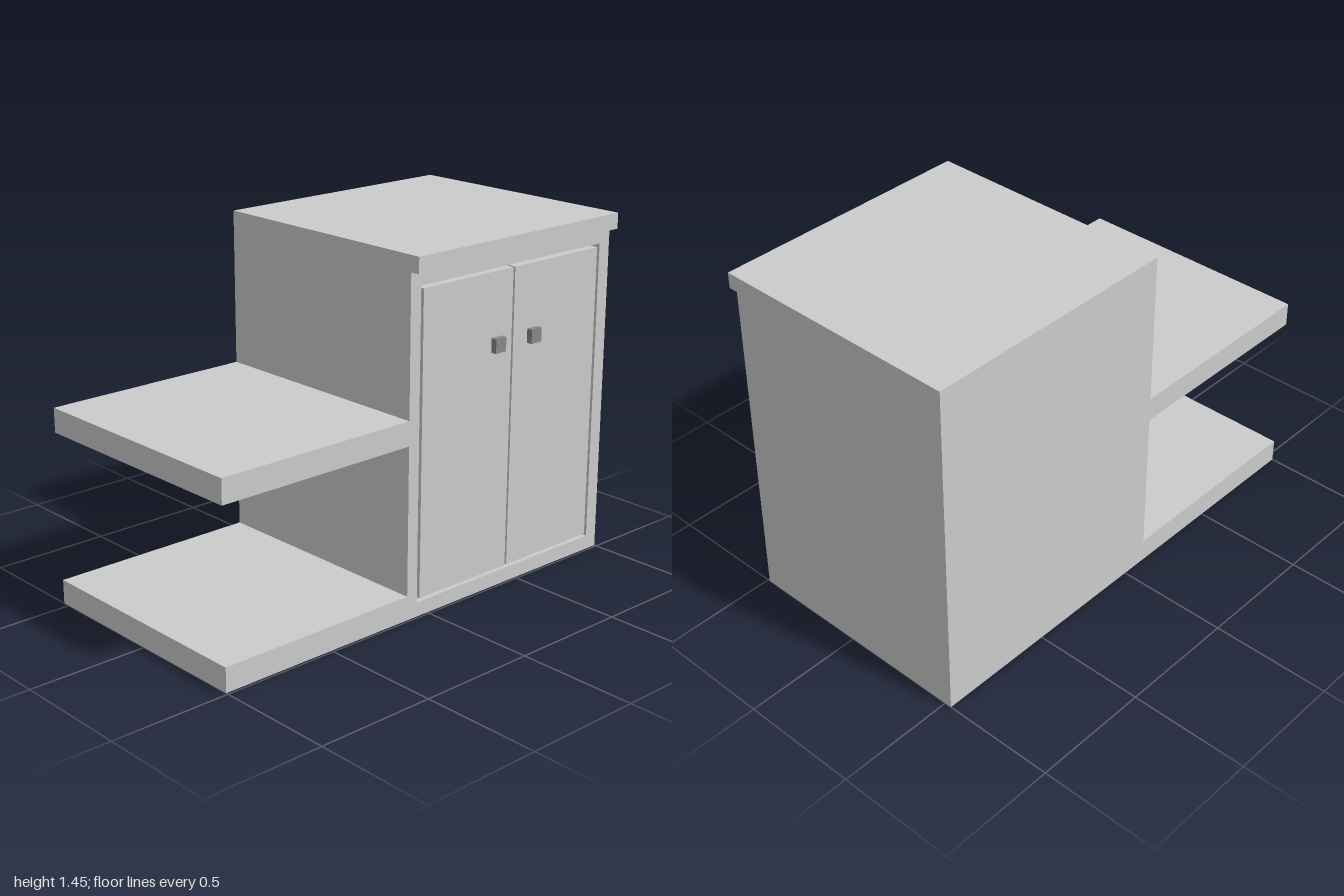
import * as THREE from 'three';

const grey = new THREE.MeshStandardMaterial({ color: 0xcccccc });
const darkGrey = new THREE.MeshStandardMaterial({ color: 0x888888 });

const BACK = -0.53, FRONT = 0.49, FACE = 0.04; // depth limits, front frame thickness
const LEFT = -0.11, RIGHT = 1, TOP = 1.445, LID = 1.38;

// Box given by its lower and upper corners
function box(name, [x0, y0, z0], [x1, y1, z1], material = grey) {
  const mesh = new THREE.Mesh(new THREE.BoxGeometry(x1 - x0, y1 - y0, z1 - z0), material);
  mesh.position.set((x0 + x1) / 2, (y0 + y1) / 2, (z0 + z1) / 2);
  mesh.name = name;
  return mesh;
}

function rectangle(path, x0, y0, x1, y1) {
  return path.moveTo(x0, y0).lineTo(x1, y0).lineTo(x1, y1).lineTo(x0, y1).closePath();
}

export function createModel() {
  const group = new THREE.Group();
  group.name = 'cabinetWithShelves';

  // Cabinet body and overhanging top
  group.add(box('cabinetBody', [LEFT, 0, BACK], [RIGHT, LID, FRONT - FACE]));
  group.add(box('cabinetTop', [LEFT, LID, BACK], [RIGHT, TOP, 0.53]));

  // Front frame with the door opening
  const outline = rectangle(new THREE.Shape(), LEFT, 0, RIGHT, LID);
  outline.holes.push(rectangle(new THREE.Path(), -0.058, 0.06, 0.942, 1.322));
  const frame = new THREE.Mesh(
    new THREE.ExtrudeGeometry(outline, { depth: FACE, bevelEnabled: false }), grey);
  frame.position.z = FRONT - FACE;
  frame.name = 'frontFrame';
  group.add(frame);

  // Mirrored doors with square knobs, flush in the frame with a narrow gap around them
  const middle = 0.442;
  for (const [side, s] of [['left', 1], ['right', -1]]) {
    const xs = [middle + s * 0.005, middle + s * 0.486].sort((a, b) => a - b);
    group.add(box(side + 'Door', [xs[0], 0.073, FRONT - FACE], [xs[1], 1.309, FRONT]));
    const k = middle + 0.012 + s * 0.101;
    group.add(box(side + 'Knob', [k - 0.028, 0.99, FRONT], [k + 0.028, 1.048, 0.515], darkGrey));
  }

  // Open side shelves
  for (const [name, y0, y1] of [['lowerShelf', 0, 0.1], ['upperShelf', 0.712, 0.812]]) {
    group.add(box(name, [-1, y0, BACK], [LEFT, y1, FRONT]));
  }
  return group;
}
